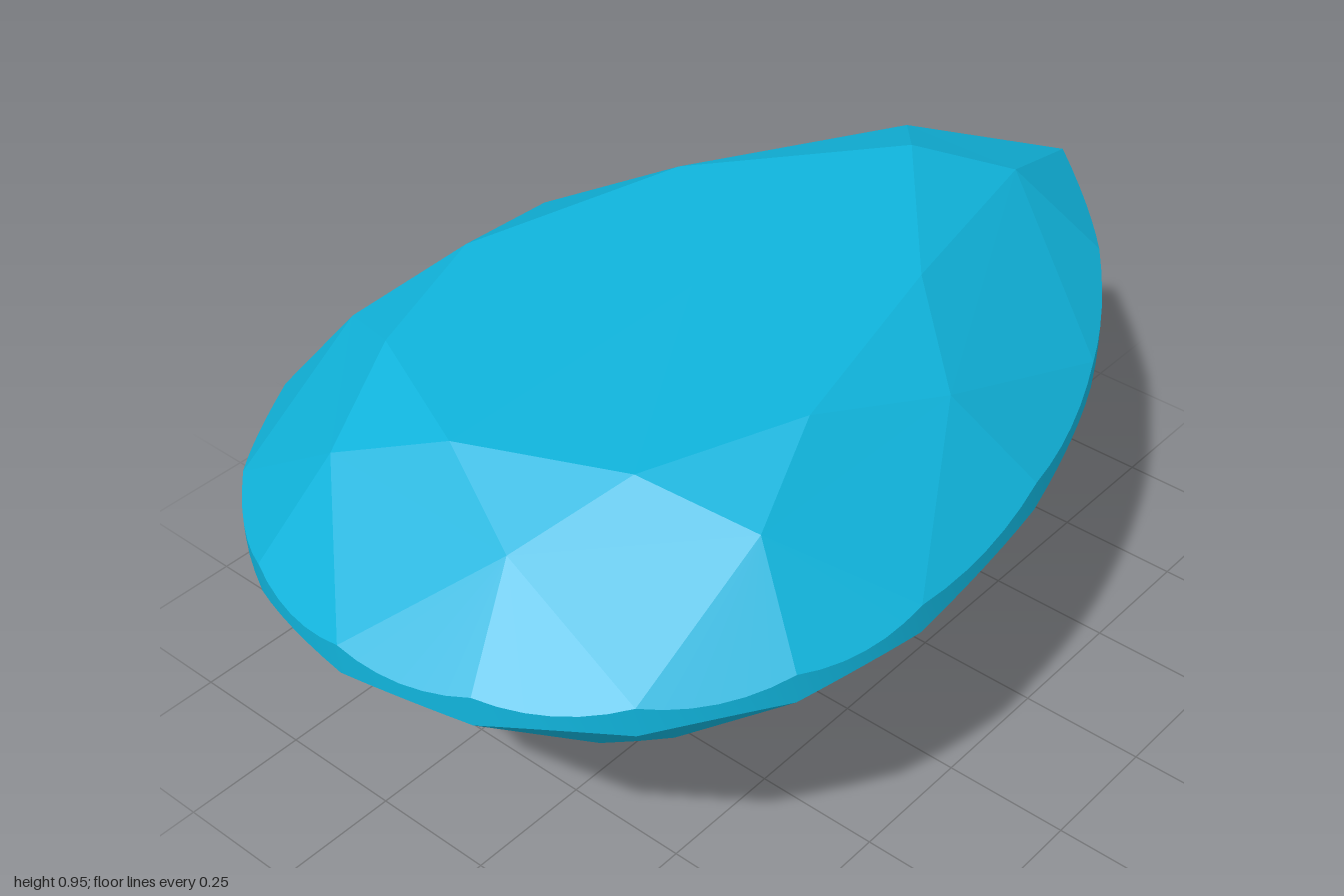
import * as THREE from 'three';
import { toCreasedNormals } from 'three/addons/utils/BufferGeometryUtils.js';

const V = (x, y, z) => new THREE.Vector3(x, y, z);
const CENTRE = V(0, 0.6, 0.15);
const STEPS = 6; // outline samples per girdle facet
const TOP = 0.706, BOTTOM = 0.648, TABLE_Y = 0.952, STAR_Y = 0.876;

// Pear outline: u = 0 round end, 4 widest point, 8 pointed end; 8..16 mirrors back
function outline(u, y) {
  u = ((u % 16) + 16) % 16;
  if (u > 8) return mirror(outline(16 - u, y));
  if (u <= 4) {
    const a = (u * Math.PI) / 8;
    return V(0.643 * Math.sin(a), y, 0.33 + 0.67 * Math.cos(a));
  }
  const R = 1.697, a = ((u - 4) / 4) * Math.asin(1.33 / R);
  return V(R * Math.cos(a) - (R - 0.643), y, 0.33 - R * Math.sin(a));
}
const mirror = (p) => V(-p.x, p.y, p.z);

// Point i of a ring of 8, given one half of the ring
const ring = (half, i, last) => {
  i = (i + 8) % 8;
  return i < half.length ? half[i] : mirror(half[last - i]);
};
const tableHalf = [[0, 0.73], [0.28, 0.605], [0.39, 0.31], [0.28, -0.13], [0, -0.47]].map(([x, z]) => V(x, TABLE_Y, z));
const starHalf = [[0.2, 0.81], [0.465, 0.52], [0.47, 0.035], [0.13, -0.63]].map(([x, z]) => V(x, STAR_Y, z));
const lowerHalf = [[1, 0.92], [3, 0.92], [5, 0.92], [7, 0.77]].map(([u, drop]) => {
  const t = 0.27, p = outline(u, 0);
  return V(p.x * t, BOTTOM * t * drop, 0.33 + (p.z - 0.33) * t);
});
const table = (i) => ring(tableHalf, i, 8);
const star = (i) => ring(starHalf, i, 7);
const lower = (i) => ring(lowerHalf, i, 7);

// Outline samples of facet u..u+1, dropped onto the plane through the facet's apex
function scallop(u, y, apex) {
  const plane = new THREE.Plane().setFromCoplanarPoints(apex, outline(u, y), outline(u + 1, y));
  const n = plane.normal;
  return Array.from({ length: STEPS + 1 }, (_, k) => {
    const p = outline(u + k / STEPS, 0);
    p.y = -(plane.constant + n.x * p.x + n.z * p.z) / n.y;
    return p;
  });
}

// Collects triangles, always turned outward
class Facets {
  pos = [];
  tri(a, b, c) {
    const n = b.clone().sub(a).cross(c.clone().sub(a));
    const out = a.clone().add(b).add(c).divideScalar(3).sub(CENTRE);
    for (const p of n.dot(out) >= 0 ? [a, b, c] : [a, c, b]) this.pos.push(p.x, p.y, p.z);
  }
  fan(apex, points) {
    for (let k = 0; k + 1 < points.length; k++) this.tri(apex, points[k], points[k + 1]);
  }
  mesh(name, material, crease) {
    let g = new THREE.BufferGeometry();
    g.setAttribute('position', new THREE.Float32BufferAttribute(this.pos, 3));
    g.computeVertexNormals();
    if (crease) g = toCreasedNormals(g, crease);
    const m = new THREE.Mesh(g, material);
    m.name = name;
    return m;
  }
}

export function createModel() {
  const flat = new THREE.MeshStandardMaterial({ color: 0x10b4dc, flatShading: true });
  const smooth = new THREE.MeshStandardMaterial({ color: 0x10b4dc });
  const top = new Facets(), crown = new Facets(), girdle = new Facets(), pavilion = new Facets();
  const culet = V(0, 0, 0.33);

  for (let i = 0; i < 8; i++) {
    // Flat table on top
    top.tri(V(0, TABLE_Y, 0.15), table(i), table(i + 1));

    // Crown: star facet, then the kite split between its two stars
    crown.tri(table(i), table(i + 1), star(i));
    crown.tri(table(i), star(i - 1), star(i));
    crown.tri(outline(2 * i, TOP), star(i - 1), star(i));

    // Pavilion: long main facet running down to the culet
    pavilion.tri(culet, lower(i - 1), lower(i));
    pavilion.tri(outline(2 * i, BOTTOM), lower(i - 1), lower(i));

    // Scalloped half facets above and below, with the girdle wall between
    for (const u of [2 * i, 2 * i + 1]) {
      const upperEdge = scallop(u, TOP, star(i));
      const lowerEdge = scallop(u, BOTTOM, lower(i));
      crown.fan(star(i), upperEdge);
      pavilion.fan(lower(i), lowerEdge);
      for (let k = 0; k < STEPS; k++) {
        girdle.tri(upperEdge[k], lowerEdge[k], lowerEdge[k + 1]);
        girdle.tri(upperEdge[k], lowerEdge[k + 1], upperEdge[k + 1]);
      }
    }
  }

  const gem = new THREE.Group();
  gem.name = 'pearCutGem';
  gem.add(
    top.mesh('table', flat),
    crown.mesh('crown', flat),
    girdle.mesh('girdle', smooth, Math.PI / 6),
    pavilion.mesh('pavilion', flat)
  );
  return gem;
}
